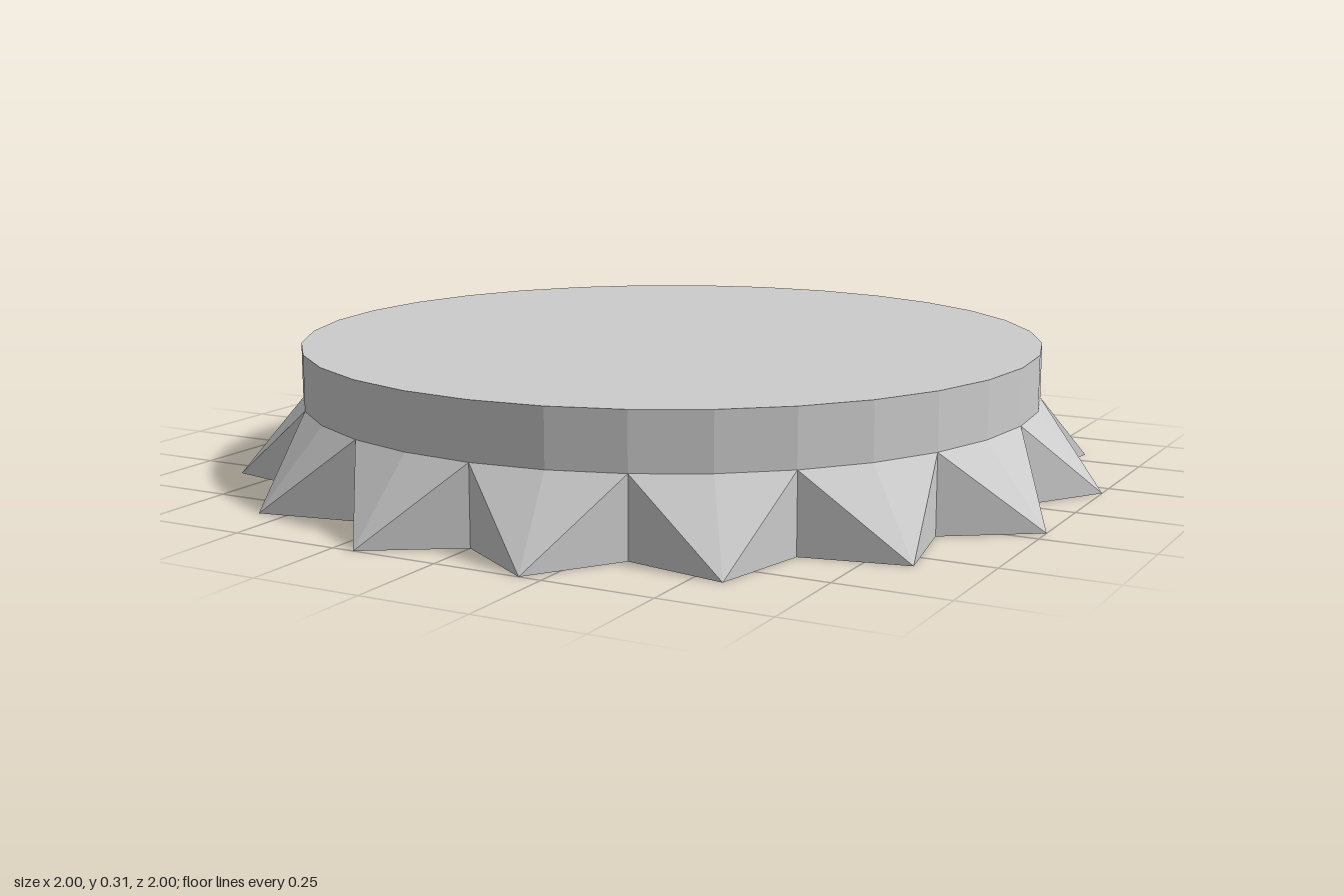
import * as THREE from 'three';

const SIDES = 32;
const RADIUS = 0.87;
const TIP_RADIUS = 1.0196;
const TOP = 0.31;
const SHOULDER = 0.18;

const ringPoint = (i, radius, y) => {
  const a = (i / SIDES) * Math.PI * 2;
  return [Math.sin(a) * radius, y, Math.cos(a) * radius];
};

// Crimped skirt: even columns drop straight down, odd columns flare out to tips
function skirtGeometry() {
  const positions = [];
  const upper = (i) => ringPoint(i, RADIUS, SHOULDER);
  const lower = (i) => ringPoint(i, i % 2 ? TIP_RADIUS : RADIUS, 0);
  for (let i = 0; i < SIDES; i++) {
    const [a, b, c, d] = [upper(i), upper(i + 1), lower(i), lower(i + 1)];
    // The crease of each facet runs from the straight column to the tip
    if (i % 2) positions.push(...a, ...c, ...b, ...b, ...c, ...d);
    else positions.push(...a, ...d, ...b, ...a, ...c, ...d);
  }
  const geometry = new THREE.BufferGeometry();
  geometry.setAttribute('position', new THREE.Float32BufferAttribute(positions, 3));
  geometry.computeVertexNormals();
  return geometry;
}

export function createModel() {
  const model = new THREE.Group();
  model.name = 'crimpedCap';

  const metal = new THREE.MeshStandardMaterial({
    color: 0xcccccc, flatShading: true, side: THREE.DoubleSide,
  });
  metal.name = 'light grey metal';

  const add = (name, geometry, y = 0) => {
    const mesh = new THREE.Mesh(geometry, metal);
    mesh.name = name;
    mesh.position.y = y;
    model.add(mesh);
  };

  // Flat lid, closed on top only, so the cap stays hollow underneath
  add('lid', new THREE.CircleGeometry(RADIUS, SIDES).rotateX(-Math.PI / 2), TOP);

  // Straight band below the lid
  const bandHeight = TOP - SHOULDER;
  add('band', new THREE.CylinderGeometry(RADIUS, RADIUS, bandHeight, SIDES, 1, true),
    SHOULDER + bandHeight / 2);

  add('crimpedSkirt', skirtGeometry());

  return model;
}
